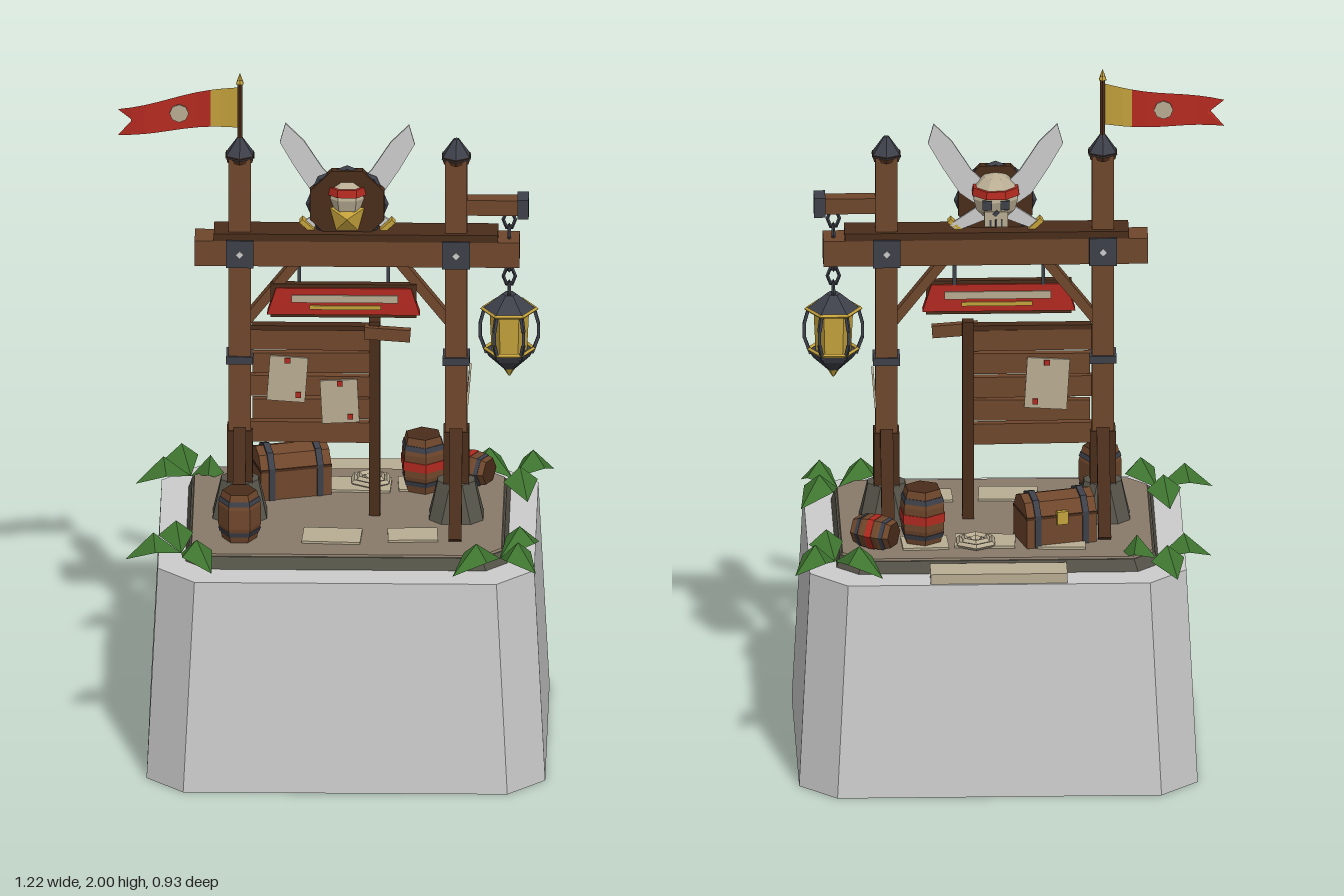
import * as THREE from 'three';
import { ConvexGeometry } from 'three/addons/geometries/ConvexGeometry.js';

const V = (x, y, z) => new THREE.Vector3(x, y, z);
const PI = Math.PI;

export function createModel() {
  const root = new THREE.Group();
  root.name = 'noticeBoardGate';
  const mat = (name, color, side = THREE.FrontSide) => {
    const m = new THREE.MeshStandardMaterial({ color, side });
    m.name = name;
    return m;
  };
  const pale = mat('paleStone', 0xcccccc), stone = mat('darkStone', 0x57554a);
  const earth = mat('earth', 0x887a69), wood = mat('wood', 0x6f472c);
  const dark = mat('darkWood', 0x4a2d1b), metal = mat('iron', 0x3d4049);
  const red = mat('red', 0xb32a20, THREE.DoubleSide), gold = mat('gold', 0xc4a23c, THREE.DoubleSide);
  const paper = mat('parchment', 0xb9ad93), green = mat('leafGreen', 0x3f7530, THREE.DoubleSide);

  // Helpers: every geometry is made faceted
  const flat = (g) => {
    const f = g.index ? g.toNonIndexed() : g;
    f.computeVertexNormals();
    return f;
  };
  const add = (name, geo, m, x = 0, y = 0, z = 0, rot = [0, 0, 0], parent = root) => {
    const mesh = new THREE.Mesh(flat(geo), m);
    mesh.name = name;
    mesh.position.set(x, y, z);
    mesh.rotation.set(...rot);
    parent.add(mesh);
    return mesh;
  };
  const box = (name, m, w, h, d, x, y, z, rot, parent) =>
    add(name, new THREE.BoxGeometry(w, h, d), m, x, y, z, rot, parent);
  const rod = (name, m, a, b, w, d = w, parent = root) => {
    const dir = b.clone().sub(a), mid = a.clone().add(b).multiplyScalar(0.5);
    const mesh = box(name, m, w, dir.length(), d, mid.x, mid.y, mid.z, [0, 0, 0], parent);
    mesh.quaternion.setFromUnitVectors(V(0, 1, 0), dir.normalize());
    return mesh;
  };
  const cyl = (name, m, rTop, rBot, h, sides, x, y, z, rot, parent) =>
    add(name, new THREE.CylinderGeometry(rTop, rBot, h, sides), m, x, y, z, rot, parent);
  // Block with cut corners that narrows towards the top
  const chamfered = (name, m, cx, cz, w, d, c, inset, y0, y1) => {
    const pts = [];
    for (const [y, i] of [[y0, 0], [y1, inset]])
      for (const sx of [-1, 1]) for (const sz of [-1, 1]) {
        const X = w / 2 - i, Z = d / 2 - i;
        pts.push(V(cx + sx * (X - c), y, cz + sz * Z), V(cx + sx * X, y, cz + sz * (Z - c)));
      }
    return add(name, new ConvexGeometry(pts), m);
  };

  // Plinth, platform and ground
  chamfered('plinth', pale, 0.037, 0, 1.122, 0.925, 0.105, 0.031, 0, 0.626);
  chamfered('platformEdge', stone, 0.037, -0.003, 0.91, 0.675, 0.06, 0.012, 0.62, 0.66);
  chamfered('ground', earth, 0.037, -0.003, 0.88, 0.645, 0.055, 0.004, 0.655, 0.666);
  box('backStep', paper, 0.385, 0.03, 0.09, 0.037, 0.64, -0.38);
  for (const [x, z, w, d, r] of [[-0.005, 0.185, 0.165, 0.105, -0.05], [0.222, 0.175, 0.14, 0.092, 0.04],
    [-0.145, -0.205, 0.135, 0.11, -0.04], [0.07, -0.195, 0.17, 0.1, -0.04], [0.24, -0.205, 0.13, 0.1, 0.05]])
    box('pavingSlab', paper, w, 0.009, d, x, 0.668, z, [0, r, 0]);

  // Posts with stone feet, props, bands and caps
  const PZ = 0.014;
  for (const x of [-0.267, 0.342]) {
    chamfered('postFoot', stone, x, PZ, 0.155, 0.152, 0.035, 0.025, 0.66, 0.775);
    box('post', wood, 0.062, 1.02, 0.062, x, 1.245, PZ);
    box('postSleeve', dark, 0.072, 0.16, 0.07, x, 0.85, PZ);
    for (const s of [-1, 1])
      rod('prop', dark, V(x, 0.67, PZ + s * 0.205), V(x, 0.935, PZ + s * 0.025), 0.036, 0.034);
    box('postBand', metal, 0.076, 0.022, 0.076, x, 1.145, PZ);
    cyl('postCap', metal, 0.008, 0.047, 0.055, 6, x, 1.782, PZ);
    cyl('postCollar', dark, 0.046, 0.04, 0.02, 6, x, 1.75, PZ);
    for (const s of [-1, 1]) {
      box('beamPlate', metal, 0.078, 0.082, 0.008, x, 1.474, PZ + s * 0.049);
      box('plateBolt', pale, 0.016, 0.016, 0.006, x, 1.474, PZ + s * 0.055, [0, 0, PI / 4]);
    }
  }

  // Crossbeam and knee braces
  box('crossbeam', wood, 0.914, 0.076, 0.09, 0.063, 1.474, PZ);
  box('beamCover', dark, 0.8, 0.022, 0.092, 0.06, 1.523, PZ);
  rod('kneeBrace', wood, V(-0.245, 1.26, PZ), V(-0.1, 1.445, PZ), 0.027, 0.034);
  rod('kneeBrace', wood, V(0.32, 1.26, PZ), V(0.175, 1.445, PZ), 0.027, 0.034);

  // Hanging sign with painted stripes on both sides
  box('signBoard', dark, 0.41, 0.1, 0.022, 0.025, 1.323, PZ + 0.012);
  const signShape = new THREE.Shape([[-0.215, -0.04], [0.215, -0.04], [0.19, 0.04], [-0.19, 0.04]]
    .map(([x, y]) => new THREE.Vector2(x, y)));
  add('signFace', new THREE.ExtrudeGeometry(signShape, { depth: 0.034, bevelEnabled: false }), red, 0.025, 1.323, PZ - 0.005);
  for (const z of [PZ - 0.007, PZ + 0.031]) {
    box('signStripe', paper, 0.3, 0.022, 0.004, 0.028, 1.332, z);
    box('signUnderline', gold, 0.2, 0.012, 0.004, 0.03, 1.306, z);
  }
  for (const x of [-0.1, 0.15]) rod('signHanger', metal, V(x, 1.36, PZ), V(x, 1.44, PZ), 0.01);

  // Notice board
  for (let i = 0; i < 5; i++)
    box('boardPlank', wood, 0.36 - (i % 2) * 0.014, 0.061, 0.024, -0.058, 0.918 + i * 0.07, 0.012, [0, 0, (i % 2 ? 1 : -1) * 0.008]);
  box('boardPost', dark, 0.032, 0.59, 0.034, 0.112, 0.96, PZ - 0.004);
  box('boardTrim', dark, 0.36, 0.014, 0.03, -0.055, 1.236, PZ);
  box('pointerPlank', wood, 0.13, 0.036, 0.022, 0.148, 1.222, 0.03, [0, 0, -0.07]);
  const notice = (x, y, z, w, h, r, s) => {
    box('notice', paper, w, h, 0.006, x, y, z, [0, 0, r]);
    for (const [dx, dy] of [[0, h * 0.42], [w * 0.28, -h * 0.35]])
      box('noticePin', red, 0.016, 0.016, 0.006, x + dx, y + dy, z + s * 0.004);
  };
  notice(-0.133, 1.082, 0.029, 0.108, 0.135, -0.07, 1);
  notice(0.014, 1.015, 0.029, 0.105, 0.13, 0.05, 1);
  notice(-0.11, 1.07, -0.004, 0.12, 0.15, 0.06, -1);
  box('postNotice', paper, 0.006, 0.1, 0.065, 0.377, 1.06, PZ - 0.01, [0, 0, -0.08]);

  // Flag pole and swallow-tailed flag
  cyl('flagPole', dark, 0.008, 0.008, 0.2, 6, -0.267, 1.885, PZ);
  cyl('poleTip', gold, 0.001, 0.012, 0.03, 6, -0.267, 1.988, PZ);
  const cloth = (name, m, u0, u1, tail) => {
    const g = new THREE.PlaneGeometry(1, 1, tail ? 7 : 3, 2), p = g.attributes.position;
    for (let i = 0; i < p.count; i++) {
      const t = 0.5 - p.getX(i), u = u0 + (u1 - u0) * t, v = p.getY(i);
      const notch = tail && t > 0.99 && Math.abs(v) < 0.1 ? 0.048 : 0;
      p.setXYZ(i, -0.272 - 0.338 * u + notch, 1.9 - 0.038 * u + v * (0.122 - 0.044 * u),
        PZ + 0.017 * Math.sin(u * 5.5 + PI) + 0.008 * u);
    }
    add(name, g, m);
  };
  cloth('flagHoist', gold, 0, 0.23, false);
  cloth('flagFly', red, 0.23, 1, true);
  for (const s of [-1, 1]) cyl('flagEmblem', paper, 0.027, 0.027, 0.004, 8, -0.438, 1.884, 0.012 + s * 0.009, [PI / 2, 0, 0]);

  // Shield with crossed blades and a skull
  const CX = 0.035;
  cyl('shield', dark, 0.113, 0.113, 0.026, 8, CX, 1.613, 0.024, [PI / 2, PI / 8, 0]);
  add('shieldRim', new THREE.TorusGeometry(0.108, 0.009, 4, 8), metal, CX, 1.613, 0.022, [0, 0, 0]);
  const outline = [[-0.13, 1.548], [-0.11, 1.53], [0.025, 1.585], [0.1, 1.64], [0.148, 1.715], [0.19, 1.79], [0.174, 1.848],
    [0.122, 1.795], [0.068, 1.71], [-0.01, 1.63]];
  for (const s of [-1, 1]) {
    const shape = new THREE.Shape(outline.map(([x, y]) => new THREE.Vector2(CX + s * x, y)));
    add('crossedBlade', new THREE.ExtrudeGeometry(shape, { depth: 0.008, bevelEnabled: false }), pale, 0, 0, s > 0 ? 0.003 : -0.005);
    box('bladeGuard', gold, 0.05, 0.014, 0.03, CX + s * 0.112, 1.543, 0.01, [0, 0, s * 0.75]);
  }
  add('skull', new THREE.SphereGeometry(0.068, 8, 6), paper, CX, 1.635, -0.004, [0, PI / 8, 0]);
  cyl('skullBand', red, 0.068, 0.072, 0.022, 8, CX, 1.657, -0.004, [0, PI / 8, 0]);
  box('skullJaw', paper, 0.066, 0.045, 0.045, CX, 1.585, -0.04);
  for (const s of [-1, 1]) box('eyeSocket', metal, 0.026, 0.026, 0.012, CX + s * 0.025, 1.628, -0.064);
  box('noseHole', metal, 0.011, 0.016, 0.008, CX, 1.603, -0.062, [0, 0, PI / 4]);
  for (let i = -1; i <= 1; i++) box('toothGap', metal, 0.005, 0.02, 0.004, CX + i * 0.016, 1.574, -0.063);
  add('frontCrest', new ConvexGeometry([V(-0.05, 0.025, 0), V(0, 0.038, 0), V(0.05, 0.025, 0), V(0.032, -0.045, 0),
    V(-0.032, -0.045, 0), V(0, 0, 0.03)]), gold, CX, 1.582, 0.036);

  // Lantern arm, chain and lantern
  box('lanternArm', wood, 0.17, 0.046, 0.046, 0.44, 1.608, PZ);
  box('armEnd', metal, 0.032, 0.058, 0.066, 0.53, 1.608, PZ);
  const lantern = new THREE.Group();
  lantern.name = 'lantern';
  lantern.position.set(0.491, 0, PZ);
  root.add(lantern);
  for (let i = 0; i < 6; i++) {
    const link = add('chainLink', new THREE.TorusGeometry(0.017, 0.005, 4, 6), metal, 0, 1.565 - i * 0.043, 0, [0, i % 2 ? PI / 2 : 0, 0], lantern);
    link.scale.y = 1.5;
  }
  const hex = [0, PI / 6, 0];
  cyl('lanternRoof', metal, 0.02, 0.076, 0.045, 6, 0, 1.317, 0, hex, lantern);
  cyl('lanternGlass', gold, 0.056, 0.05, 0.13, 6, 0, 1.23, 0, hex, lantern);
  cyl('lanternTray', metal, 0.07, 0.058, 0.022, 6, 0, 1.16, 0, hex, lantern);
  cyl('lanternBase', metal, 0.058, 0.02, 0.034, 6, 0, 1.132, 0, hex, lantern);
  cyl('lanternFinial', gold, 0.018, 0.003, 0.024, 6, 0, 1.103, 0, hex, lantern);
  for (const [y, r] of [[1.294, 0.076], [1.174, 0.07]])
    add('lanternRing', new THREE.TorusGeometry(r, 0.006, 4, 6), gold, 0, y, 0, [PI / 2, 0, 0], lantern);
  for (let i = 0; i < 6; i++) {
    const c = Math.cos(i * PI / 3), s = Math.sin(i * PI / 3);
    const p = [[0.07, 1.295], [0.082, 1.25], [0.082, 1.21], [0.064, 1.16]].map(([r, y]) => V(r * c, y, r * s));
    for (let k = 0; k < 3; k++) rod('cageBar', metal, p[k], p[k + 1], 0.009, 0.009, lantern);
  }

  // Barrels
  const barrel = (x, y, z, r, h, rot, middle) => {
    const g = new THREE.Group();
    g.name = 'barrel';
    g.position.set(x, y, z);
    g.rotation.set(...rot);
    root.add(g);
    const profile = [[0.78, -0.5], [0.97, -0.2], [0.97, 0.2], [0.78, 0.5]].map(([a, b]) => new THREE.Vector2(a * r, b * h));
    add('barrelStaves', new THREE.LatheGeometry(profile, 6), wood, 0, 0, 0, [0, 0, 0], g);
    cyl('barrelEnds', dark, 0.77 * r, 0.77 * r, h * 0.99, 6, 0, 0, 0, [0, 0, 0], g);
    for (const s of [-1, 1]) cyl('barrelHoop', metal, r * (s > 0 ? 0.9 : 0.97), r * (s > 0 ? 0.97 : 0.9), h * 0.09, 6, 0, s * h * 0.32, 0, [0, 0, 0], g);
    if (middle) cyl('barrelBand', middle, r * 1.01, r * 1.01, h * 0.16, 6, 0, 0, 0, [0, 0, 0], g);
  };
  barrel(-0.265, 0.738, 0.192, 0.062, 0.145, [0, PI / 6, 0], null);
  barrel(0.246, 0.748, -0.185, 0.068, 0.165, [0, 0.12, 0], red);
  barrel(0.38, 0.712, -0.225, 0.05, 0.12, [0, -0.52, PI / 2], red);

  // Coiled rope
  for (const [r, y] of [[0.053, 0.677], [0.036, 0.684], [0.019, 0.679]])
    add('ropeCoil', new THREE.TorusGeometry(r, 0.009, 4, 6), paper, 0.097, y, -0.217, [PI / 2, 0, PI / 6]);

  // Chest with a rounded lid, straps and a lock at the back
  const chest = new THREE.Group();
  chest.name = 'chest';
  chest.position.set(-0.128, 0.666, -0.165);
  chest.rotation.y = 0.27;
  root.add(chest);
  const chestShape = (k) => new THREE.Shape([[-0.065, 0], [0.065, 0], [0.065, 0.09], [0.04, 0.128], [0, 0.142], [-0.04, 0.128], [-0.065, 0.09]]
    .map(([x, y]) => new THREE.Vector2(x * k, y * k)));
  const slice = (name, m, x, w, k) => add(name, new THREE.ExtrudeGeometry(chestShape(k), { depth: w, bevelEnabled: false }), m,
    x - w / 2, 0, 0, [0, PI / 2, 0], chest);
  slice('chestBody', wood, 0, 0.205, 1);
  for (const s of [-1, 1]) slice('chestStrap', metal, s * 0.07, 0.018, 1.05);
  box('chestSeam', dark, 0.207, 0.008, 0.134, 0, 0.088, 0, [0, 0, 0], chest);
  box('chestLock', gold, 0.032, 0.038, 0.014, 0, 0.085, -0.069, [0, 0, 0], chest);

  // Corner plants: three folded leaves each, given by root and tip positions
  const leaf = (cx, cz, tx, tz) => {
    const dx = tx - cx, dz = tz - cz, l = Math.hypot(dx, dz), nx = -dz / l * 0.05, nz = dx / l * 0.05;
    const at = (t, s, y) => [cx + dx * t + nx * s, y, cz + dz * t + nz * s];
    const a = at(0, 0, 0.65), ridge = at(0.5, 0, 0.718), tip = at(1, 0, 0.642);
    const verts = [];
    for (const s of [1, -1]) {
      const e = at(0.52, s, 0.676);
      verts.push(...(s > 0 ? [a, e, ridge, ridge, e, tip] : [a, ridge, e, ridge, tip, e]).flat());
    }
    const g = new THREE.BufferGeometry();
    g.setAttribute('position', new THREE.Float32BufferAttribute(verts, 3));
    add('leaf', g, green);
  };
  for (const [cx, cz, ...tips] of [
    [-0.41, -0.297, -0.465, -0.45, -0.565, -0.257, -0.3, -0.28],
    [0.495, -0.297, 0.363, -0.42, 0.61, -0.39, 0.54, -0.14],
    [-0.427, 0.273, -0.46, 0.12, -0.585, 0.303, -0.34, 0.405],
    [0.47, 0.297, 0.578, 0.15, 0.338, 0.415, 0.572, 0.39]])
    for (let i = 0; i < 6; i += 2) leaf(cx, cz, tips[i], tips[i + 1]);

  return root;
}
